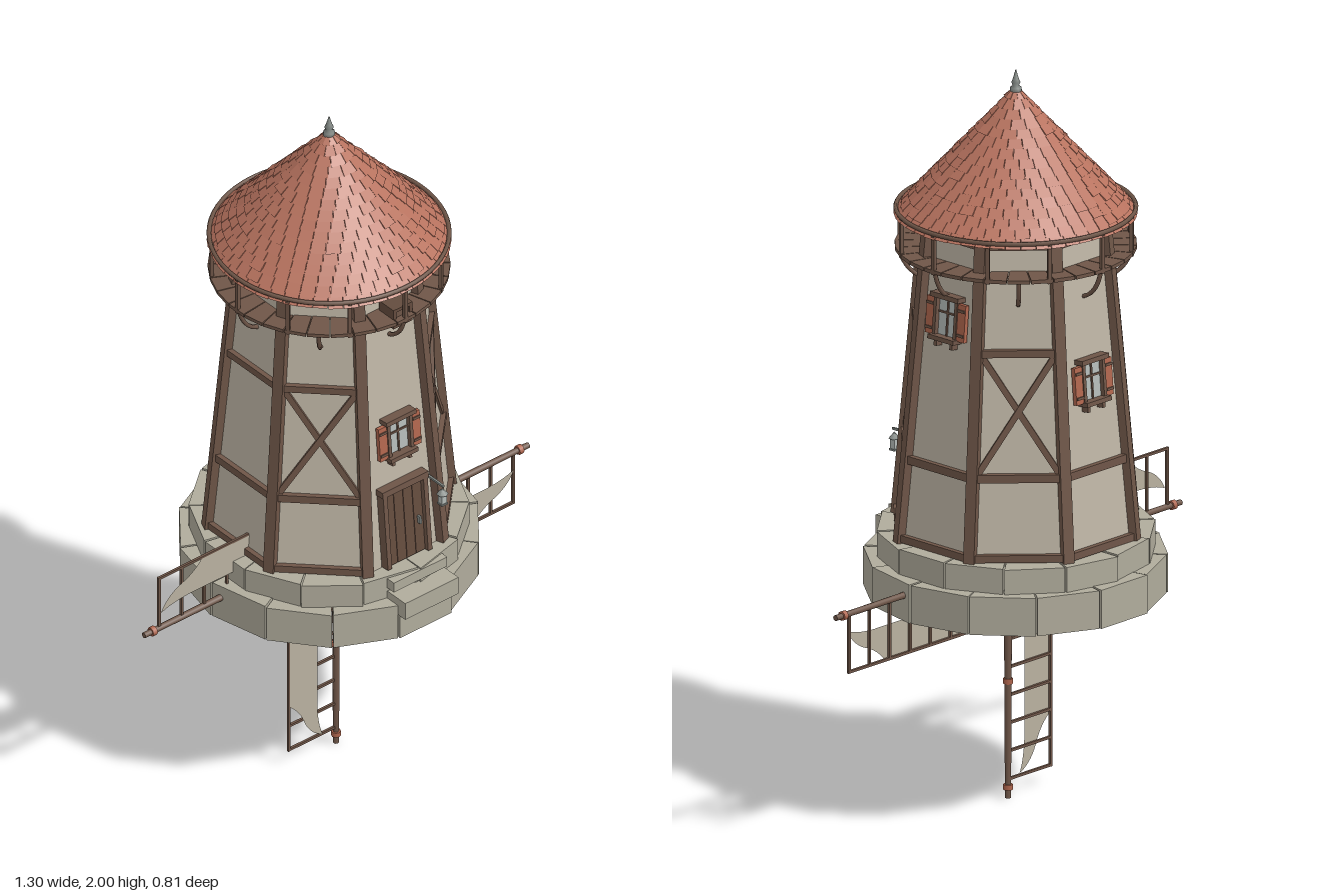
import * as THREE from 'three';
import { mergeGeometries } from 'three/addons/utils/BufferGeometryUtils.js';

const mat = (name, color, extra = {}) => Object.assign(new THREE.MeshStandardMaterial({ color, ...extra }), { name });
const M = {
  plaster: mat('plaster', 0xbfb6a6, { flatShading: true }),
  stone: mat('stone', 0xb0ac9c),
  wood: mat('timber', 0x6f5648),
  door: mat('doorWood', 0x644c3e),
  tile: mat('roofTile', 0xb8735f),
  shutter: mat('shutterPaint', 0xb0664e),
  canvas: mat('sailCloth', 0xb9b1a0, { side: THREE.DoubleSide }),
  glass: mat('glass', 0xb4bbb8),
  metal: mat('metal', 0x858b87),
  dark: mat('darkInterior', 0x20221f, { side: THREE.DoubleSide }),
};
const V = (x, y, z) => new THREE.Vector3(x, y, z);
const TAU = Math.PI * 2;

let seed = 7;
const rnd = () => (seed = (seed * 16807) % 2147483647) / 2147483647;

function add(parent, name, geo, material, x = 0, y = 0, z = 0) {
  const m = new THREE.Mesh(geo, material);
  m.name = name;
  m.position.set(x, y, z);
  parent.add(m);
  return m;
}
const box = (parent, name, material, w, h, d, x, y, z) =>
  add(parent, name, new THREE.BoxGeometry(w, h, d), material, x, y, z);

// Block bent round the axis: inner/outer radius at the bottom (i0,o0) and top (i1,o1)
function wedge(a, da, y0, y1, i0, o0, i1 = i0, o1 = o0) {
  const g = new THREE.BoxGeometry(1, 1, 1), p = g.attributes.position;
  for (let i = 0; i < p.count; i++) {
    const t = a + p.getX(i) * da, top = p.getY(i) > 0, out = p.getZ(i) > 0;
    const r = top ? (out ? o1 : i1) : (out ? o0 : i0);
    p.setXYZ(i, r * Math.sin(t), top ? y1 : y0, r * Math.cos(t));
  }
  g.computeVertexNormals();
  return g;
}

// Straight beam between two points, its depth turned to the outward direction
function beam(parent, name, a, b, w, d, out) {
  const m = box(parent, name, M.wood, w, a.distanceTo(b), d, 0, 0, 0);
  const y = b.clone().sub(a).normalize();
  const x = y.clone().cross(out).normalize();
  m.quaternion.setFromRotationMatrix(new THREE.Matrix4().makeBasis(x, y, x.clone().cross(y)));
  m.position.copy(a).lerp(b, 0.5);
  return m;
}

// Eight-sided tower: distance of a wall from the axis, and a point on wall k
const Y0 = 0.74, Y1 = 1.62, T8 = Math.tan(Math.PI / 8), LEAN = 0.088;
const apothem = y => 0.303 - LEAN * (y - 0.75);
const dir = a => V(Math.sin(a), 0, Math.cos(a));
function onWall(k, u, y, out = 0) {
  const a = k * TAU / 8, r = apothem(y) + out;
  return V(r * Math.sin(a) + u * Math.cos(a), y, r * Math.cos(a) - u * Math.sin(a));
}
function wallGroup(parent, name, k, y) {
  const g = new THREE.Group();
  g.name = name;
  g.position.copy(onWall(k, 0, y));
  g.rotation.set(-Math.atan(LEAN), k * TAU / 8, 0, 'YXZ');
  parent.add(g);
  return g;
}

function addWindow(parent, k, y) {
  const g = wallGroup(parent, 'window', k, y);
  box(g, 'windowPane', M.glass, 0.07, 0.1, 0.008, 0, 0, 0.004);
  for (const s of [-1, 1]) {
    box(g, 'windowJamb', M.wood, 0.01, 0.11, 0.022, s * 0.037, 0, 0.01);
    box(g, 'shutter', M.shutter, 0.027, 0.1, 0.012, s * 0.056, 0, 0.012);
    box(g, 'sillBracket', M.wood, 0.01, 0.022, 0.022, s * 0.028, -0.066, 0.01);
    for (const t of [-1, 1]) box(g, 'shutterBatten', M.wood, 0.024, 0.007, 0.005, s * 0.056, t * 0.033, 0.019);
  }
  box(g, 'windowLintel', M.wood, 0.1, 0.013, 0.03, 0, 0.06, 0.014);
  box(g, 'windowSill', M.wood, 0.092, 0.012, 0.034, 0, -0.053, 0.016);
  box(g, 'mullion', M.wood, 0.005, 0.1, 0.008, 0, 0, 0.008);
  box(g, 'glazingBar', M.wood, 0.07, 0.005, 0.008, 0, 0.015, 0.008);
}

function addBase(t) {
  const n = 14, da = TAU / n, c = Math.cos(da / 2);
  const course = (y0, y1, ri, ro, shift) => {
    for (let i = 0; i < n; i++)
      add(t, 'baseStone', wedge((i + shift) * da, da * 0.975, y0, y1 - rnd() * 0.004, ri, (ro + rnd() * 0.008) / c), M.stone);
  };
  course(0.58, 0.687, 0.31, 0.383, 0);
  course(0.683, 0.755, 0.28, 0.352, 0.5);
  box(t, 'doorStep', M.stone, 0.18, 0.052, 0.09, 0, 0.681, 0.371);
  box(t, 'upperStep', M.stone, 0.18, 0.03, 0.08, 0, 0.732, 0.33);
  add(t, 'floor', new THREE.CircleGeometry(0.3, 32).rotateX(Math.PI / 2), M.dark, 0, 0.705, 0);
}

function addTower(t) {
  const c = Math.cos(Math.PI / 8);
  add(t, 'walls', new THREE.CylinderGeometry(apothem(Y1) / c, apothem(Y0) / c, Y1 - Y0, 8, 1, true, Math.PI / 8),
    M.plaster, 0, (Y0 + Y1) / 2, 0);
  for (let k = 0; k < 8; k++) {
    const out = dir(k * TAU / 8), half = y => apothem(y) * T8;
    const rail = (y, w) => beam(t, 'wallRail', onWall(k, -half(y), y, 0.002), onWall(k, half(y), y, 0.002), w, 0.022, out);
    beam(t, 'cornerPost', onWall(k, half(0.75), 0.75), onWall(k, half(1.61), 1.61), 0.03, 0.03, dir((k + 0.5) * TAU / 8));
    rail(1.6, 0.03);
    if (k !== 0) { rail(0.765, 0.02); rail(0.978, 0.022); }
    if (k % 2 || k === 6) rail(1.31, 0.02);
    // Cross braces on the diagonal walls
    if (k % 2) for (const s of [-1, 1])
      beam(t, 'crossBrace', onWall(k, -s * (half(0.99) - 0.012), 0.99, s * 0.001), onWall(k, s * (half(1.3) - 0.012), 1.3, s * 0.001), 0.016, 0.016, out);
  }
  addWindow(t, 0, 1.13);
  addWindow(t, 2, 1.38);
  addWindow(t, 4, 1.21);

  // Plank door with frame, and the lantern beside it
  const d = wallGroup(t, 'door', 0, 0.755);
  for (let i = 0; i < 4; i++) box(d, 'doorPlank', M.door, 0.0295, 0.22, 0.014, (i - 1.5) * 0.031, 0.11, 0.006);
  for (const s of [-1, 1]) box(d, 'doorJamb', M.wood, 0.014, 0.235, 0.028, s * 0.068, 0.117, 0.012);
  box(d, 'doorLintel', M.wood, 0.155, 0.018, 0.03, 0, 0.23, 0.013);
  box(d, 'doorHandle', M.metal, 0.006, 0.022, 0.012, 0.045, 0.1, 0.018);
  box(t, 'lanternArm', M.metal, 0.006, 0.006, 0.07, 0.095, 0.96, 0.315);
  box(t, 'lanternGlass', M.glass, 0.016, 0.028, 0.016, 0.095, 0.92, 0.345);
  add(t, 'lanternCap', new THREE.ConeGeometry(0.016, 0.018, 6), M.metal, 0.095, 0.943, 0.345);
  box(t, 'lanternFoot', M.metal, 0.02, 0.005, 0.02, 0.095, 0.904, 0.345);
}

function addBalcony(t) {
  const planks = 32;
  for (let i = 0; i < planks; i++)
    add(t, 'balconyPlank', wedge(i * TAU / planks, TAU / planks * 0.95, 1.517, 1.527, 0.215, 0.315), M.wood);
  add(t, 'handrail', new THREE.TorusGeometry(0.312, 0.006, 6, 64).rotateX(Math.PI / 2), M.wood, 0, 1.626, 0);
  for (let i = 0; i < 12; i++) {
    const p = dir(i * TAU / 12).multiplyScalar(0.309);
    box(t, 'railPost', M.wood, 0.01, 0.112, 0.01, p.x, 1.57, p.z).rotation.y = i * TAU / 12;
  }
  const curve = new THREE.QuadraticBezierCurve3(V(0, 1.435, 0.238), V(0, 1.45, 0.29), V(0, 1.52, 0.305));
  const brace = new THREE.TubeGeometry(curve, 8, 0.006, 6);
  for (let k = 0; k < 8; k++) add(t, 'balconyBrace', brace, M.wood).rotation.y = k * TAU / 8;
  // Crate at the front of the balcony
  box(t, 'crate', M.wood, 0.055, 0.055, 0.05, 0, 1.527, 0.27);
  for (const s of [-1, 1]) {
    box(t, 'crateBatten', M.door, 0.062, 0.01, 0.058, 0, 1.527 + s * 0.025, 0.27);
    box(t, 'crateEdge', M.door, 0.01, 0.06, 0.058, s * 0.027, 1.527, 0.27);
  }
}

function addRoof(t) {
  const y0 = 1.615, y1 = 1.95, rows = 16, R = y => 0.305 * (y1 + 0.008 - y) / (y1 - y0), tiles = [];
  for (let i = 0; i < rows; i++) {
    const h = (y1 - y0) / rows, ya = y0 + i * h, yb = ya + h + 0.004, ra = R(ya), rb = R(yb);
    const n = Math.max(10, Math.round(TAU * ra / 0.04)), da = TAU / n;
    for (let j = 0; j < n; j++) {
      const lift = 0.004 + rnd() * 0.003;
      tiles.push(wedge((j + (i % 2) / 2) * da, da * 0.96, ya - rnd() * 0.003, yb, ra - 0.012, ra + lift, Math.max(rb - 0.014, 0.001), rb));
    }
  }
  add(t, 'roofTiles', mergeGeometries(tiles), M.tile);
  add(t, 'roofCore', new THREE.ConeGeometry(0.299, y1 - y0, 48), M.tile, 0, (y0 + y1) / 2 - 0.002, 0);
  add(t, 'eaveBoard', new THREE.CylinderGeometry(0.285, 0.265, 0.02, 32), M.wood, 0, 1.606, 0);
  const profile = [[0.001, 1.935], [0.016, 1.938], [0.015, 1.952], [0.008, 1.957], [0.012, 1.966], [0.008, 1.975], [0.001, 2]];
  add(t, 'finial', new THREE.LatheGeometry(profile.map(p => new THREE.Vector2(...p)), 16), M.metal);
}

function addSails(root) {
  const hub = new THREE.Group();
  hub.name = 'sailWheel';
  hub.position.set(0, 0.65, 0.012);
  root.add(hub);
  add(hub, 'hub', new THREE.CylinderGeometry(0.034, 0.04, 0.07, 12).rotateX(Math.PI / 2), M.wood);
  add(hub, 'hubCap', new THREE.SphereGeometry(0.034, 12, 8), M.wood, 0, 0, 0.03);
  // Cloth with a tapered, curved outer end
  const s = new THREE.Shape();
  s.moveTo(-0.16, -0.138);
  s.lineTo(-0.068, -0.138);
  s.lineTo(-0.068, -0.5);
  s.quadraticCurveTo(-0.066, -0.56, -0.05, -0.597);
  s.quadraticCurveTo(-0.09, -0.58, -0.11, -0.535);
  s.quadraticCurveTo(-0.125, -0.49, -0.16, -0.46);
  const cloth = new THREE.ShapeGeometry(s, 8);
  for (let k = 0; k < 4; k++) {
    const g = new THREE.Group();
    g.name = 'sail';
    g.rotation.z = k * Math.PI / 2;
    hub.add(g);
    add(g, 'sailArm', new THREE.CylinderGeometry(0.011, 0.008, 0.65, 8), M.wood, 0, -0.325, 0);
    box(g, 'sailOuterRail', M.wood, 0.007, 0.466, 0.007, -0.16, -0.37, 0);
    for (let i = 0; i < 7; i++) box(g, 'sailRung', M.wood, 0.164, 0.007, 0.007, -0.08, -0.14 - i * 0.0765, 0);
    for (const y of [-0.33, -0.62]) add(g, 'armBand', new THREE.CylinderGeometry(0.013, 0.013, 0.014, 8), M.shutter, 0, y, 0);
    add(g, 'sailCloth', cloth, M.canvas, 0, 0, 0.006);
  }
}

export function createModel() {
  const root = new THREE.Group();
  root.name = 'windmill';
  const tower = new THREE.Group();
  tower.name = 'tower';
  tower.position.z = -0.016;
  root.add(tower);
  addBase(tower);
  addTower(tower);
  addBalcony(tower);
  addRoof(tower);
  addSails(root);
  return root;
}
